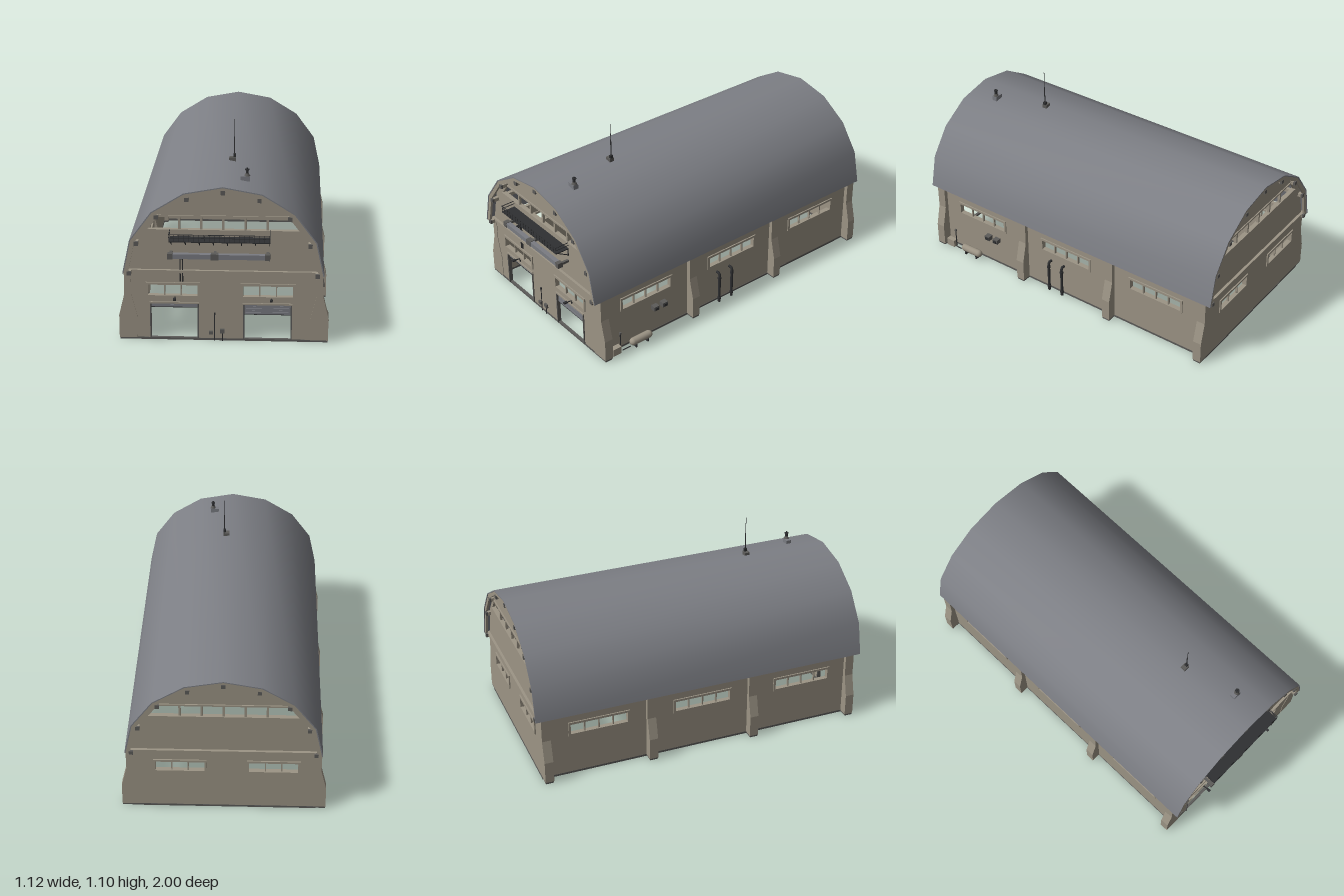
import * as THREE from 'three';
import { toCreasedNormals } from 'three/addons/utils/BufferGeometryUtils.js';

const mat = (name, color) => new THREE.MeshStandardMaterial({ name, color });

// Half of the roof profile, eave to ridge
const HALF = [[0.527, 0.39], [0.487, 0.575], [0.373, 0.73], [0.203, 0.835], [0, 0.872]];

// Full profile from right eave over the ridge to left eave, shrunk inward by t
function profile(t = 0) {
  const s = 1 - t / 0.525;
  const half = HALF.map(([x, y]) => [x * s, 0.35 + (y - 0.35) * s]);
  return [...half, ...half.slice(0, -1).reverse().map(([x, y]) => [-x, y])];
}
const shapeOf = pts => new THREE.Shape(pts.map(p => new THREE.Vector2(p[0], p[1])));
const pathOf = pts => new THREE.Path(pts.map(p => new THREE.Vector2(p[0], p[1])));
const rect = (x0, x1, y0, y1) => pathOf([[x0, y0], [x0, y1], [x1, y1], [x1, y0]]);
const extrude = (shape, depth) => new THREE.ExtrudeGeometry(shape, { depth, bevelEnabled: false });

export function createModel() {
  const wall = mat('wall beige', 0x9c9485);
  const roofMat = mat('roof grey', 0x7d7f85);
  const metal = mat('duct grey', 0x7a7c82);
  const dark = mat('dark grey', 0x5c5b59);
  const black = mat('black metal', 0x2f3032);

  const model = new THREE.Group();
  model.name = 'hangar';
  const hall = new THREE.Group();
  hall.name = 'hall';
  hall.position.x = -0.008;
  model.add(hall);

  const add = (parent, name, geo, m, x = 0, y = 0, z = 0) => {
    const mesh = new THREE.Mesh(geo, m);
    mesh.name = name;
    mesh.position.set(x, y, z);
    parent.add(mesh);
    return mesh;
  };
  const box = (parent, name, m, w, h, d, x, y, z) =>
    add(parent, name, new THREE.BoxGeometry(w, h, d), m, x, y, z);
  const rod = (parent, name, m, r, h, x, y, z) =>
    add(parent, name, new THREE.CylinderGeometry(r, r, h, 10), m, x, y, z);

  // Roof shell and arched ribs
  const band = (t0, t1) => shapeOf([...profile(t0), ...profile(t1).reverse()]);
  add(hall, 'roof', toCreasedNormals(extrude(band(0, 0.006), 1.958), 0.5), roofMat, 0, 0, -1);
  for (const z of [0.942, 0.893, 0.28, -0.335, -0.945, -0.996])
    add(hall, 'roofRib', extrude(band(0.005, 0.028), 0.013), wall, 0, 0, z);

  // Lengthwise purlins with grey ends
  const purlins = [[0.492, 0.39], [0.452, 0.556], [0.345, 0.702], [0.187, 0.8], [0, 0.84]];
  for (const [px, y] of purlins)
    for (const x of px ? [px, -px] : [0]) {
      box(hall, 'purlin', wall, 0.021, 0.021, 1.94, x, y, -0.02);
      for (const z of [0.953, -0.994]) box(hall, 'purlinEnd', dark, 0.022, 0.022, 0.011, x, y, z);
    }

  // Window frame with mullions, lying in the xy plane
  function windowFrame(parent, w, h, panes, x, y, z, turn = 0) {
    const g = new THREE.Group();
    g.name = 'windowFrame';
    const b = 0.013;
    for (const s of [-1, 1]) {
      box(g, 'frameRail', wall, w + 2 * b, b, 0.028, 0, s * (h + b) / 2, 0);
      box(g, 'frameSide', wall, b, h, 0.028, s * (w + b) / 2, 0, 0);
    }
    for (let i = 1; i < panes; i++) box(g, 'mullion', wall, 0.007, h, 0.012, -w / 2 + (w * i) / panes, 0, 0);
    g.position.set(x, y, z);
    g.rotation.y = turn;
    parent.add(g);
  }

  // End walls with gable window, two lower windows and front door openings
  const doors = [-0.26, 0.232];
  for (const [front, z] of [[true, 0.908], [false, -0.963]]) {
    const s = shapeOf([[-0.5, 0.01], [0.5, 0.01], [0.5, 0.39], ...profile(0.02), [-0.5, 0.39]]);
    s.holes.push(pathOf([[-0.392, 0.625], [-0.342, 0.692], [0.342, 0.692], [0.392, 0.625]]));
    for (const x of [-0.267, 0.235]) {
      s.holes.push(rect(x - 0.131, x + 0.131, 0.255, 0.315));
      windowFrame(hall, 0.262, 0.06, 3, x, 0.285, z);
    }
    if (front) for (const x of doors) s.holes.push(rect(x - 0.125, x + 0.125, 0.01, 0.21));
    add(hall, front ? 'frontWall' : 'backWall', extrude(s, 0.014), wall, 0, 0, z - 0.007);
    for (let i = -2; i <= 2; i++) box(hall, 'gableMullion', wall, 0.012, 0.07, 0.014, i * 0.115, 0.658, z);
    const out = front ? 1 : -1;
    box(hall, 'gableSill', wall, 0.79, 0.008, 0.026, 0, 0.621, z);
    box(hall, 'gableHeader', wall, 0.69, 0.01, 0.026, 0, 0.698, z);
    box(hall, 'eaveLedge', wall, 1.03, 0.014, 0.028, 0, 0.394, z + out * 0.008);
    box(hall, 'endFooting', dark, 1.0, 0.012, 0.016, 0, 0.006, z);
  }

  // Side walls, each with three windows
  for (const side of [-1, 1]) {
    const s = shapeOf([[-0.965, 0.01], [0.91, 0.01], [0.91, 0.4], [-0.965, 0.4]]);
    for (const z of [0.595, -0.02, -0.635]) {
      s.holes.push(rect(z - 0.165, z + 0.165, 0.26, 0.32));
      windowFrame(hall, 0.33, 0.06, 4, side * 0.494, 0.29, z, Math.PI / 2);
    }
    const geo = extrude(s, 0.014).translate(0, 0, -0.007).rotateY(-Math.PI / 2);
    add(hall, 'sideWall', geo, wall, side * 0.494);
    box(hall, 'sideFooting', dark, 0.016, 0.012, 1.87, side * 0.494, 0.006, -0.028);

    // Flared pilasters on dark pads
    const p = shapeOf([[-0.048, 0.01], [0.048, 0.01], [0.048, 0.137], [0.018, 0.26], [0.018, 0.395],
      [-0.018, 0.395], [-0.018, 0.26], [-0.048, 0.137]]);
    for (const z of [0.893, 0.28, -0.335, -0.945]) {
      add(hall, 'pilaster', extrude(p, 0.05), wall, side * 0.506, 0, z - 0.025);
      box(hall, 'pilasterPad', dark, 0.092, 0.01, 0.046, side * 0.506, 0.005, z);
    }
  }

  // Door frames, part-raised shutters and lamps
  doors.forEach((x, i) => {
    for (const s of [-1, 1]) box(hall, 'doorJamb', dark, 0.007, 0.205, 0.022, x + s * 0.126, 0.108, 0.91);
    box(hall, 'doorLintel', wall, 0.262, 0.009, 0.024, x, 0.213, 0.91);
    const slats = i ? 5 : 2;
    for (let k = 0; k < slats; k++)
      box(hall, 'shutterSlat', metal, 0.246, 0.0105, k % 2 ? 0.008 : 0.011, x, 0.203 - k * 0.0115, 0.905);
    box(hall, 'shutterBar', black, 0.246, 0.003, 0.012, x, 0.208 - slats * 0.0115, 0.905);
    const lx = i ? 0.253 : -0.255;
    const arm = rod(hall, 'lampArm', black, 0.003, 0.05, lx, 0.247, 0.937);
    arm.rotation.x = 1.4;
    box(hall, 'lampHead', black, 0.014, 0.009, 0.022, lx, 0.25, 0.96);
    box(hall, 'lampMount', black, 0.007, 0.026, 0.008, lx, 0.238, 0.918);
  });

  // Balcony with railing and brackets
  const balcony = new THREE.Group();
  balcony.name = 'balcony';
  model.add(balcony);
  box(balcony, 'deck', black, 0.524, 0.005, 0.082, -0.025, 0.585, 0.957);
  for (const y of [0.607, 0.624]) {
    box(balcony, 'frontRail', black, 0.524, 0.003, 0.003, -0.025, y, 0.997);
    for (const x of [-0.286, 0.236]) box(balcony, 'endRail', black, 0.003, 0.003, 0.08, x, y, 0.957);
  }
  for (let i = 0; i <= 20; i++) box(balcony, 'railPost', black, 0.0025, 0.04, 0.0025, -0.285 + i * 0.026, 0.604, 0.997);
  for (let i = 0; i < 8; i++) {
    const x = -0.279 + i * 0.0732;
    box(balcony, 'bracketLeg', black, 0.004, 0.045, 0.004, x, 0.562, 0.918);
    const strut = box(balcony, 'bracketStrut', black, 0.004, 0.082, 0.004, x, 0.564, 0.953);
    strut.rotation.x = 1.04;
  }

  // Air duct with couplings and drop pipes
  box(model, 'duct', metal, 0.52, 0.026, 0.026, -0.03, 0.5, 0.974);
  for (const [x, w] of [[-0.281, 0.028], [-0.05, 0.04], [0.224, 0.026]]) {
    box(model, 'ductCoupling', dark, w, 0.031, 0.031, x, 0.5, 0.974);
    box(model, 'ductMount', dark, 0.014, 0.014, 0.05, x, 0.5, 0.938);
  }
  for (const x of [-0.235, -0.222]) {
    rod(model, 'dropPipe', black, 0.0035, 0.16, x, 0.415, 0.92);
    box(model, 'dropPipeElbow', black, 0.006, 0.006, 0.05, x, 0.492, 0.942);
  }

  // Meter boxes and post at the front wall
  rod(model, 'frontPost', black, 0.0025, 0.155, -0.055, 0.078, 0.922);
  box(model, 'frontPostTop', black, 0.008, 0.012, 0.008, -0.055, 0.155, 0.922);
  box(model, 'meterBox', dark, 0.022, 0.018, 0.012, -0.074, 0.046, 0.92);
  box(model, 'panelBox', dark, 0.024, 0.024, 0.012, -0.014, 0.056, 0.92);
  rod(model, 'panelStand', black, 0.003, 0.045, -0.014, 0.022, 0.92);

  // Gas tank, cabinet, boxes and pipes on the left wall
  const tank = add(model, 'tank', new THREE.CapsuleGeometry(0.022, 0.105, 6, 16), wall, 0.532, 0.038, 0.665);
  tank.rotation.x = Math.PI / 2;
  for (const z of [0.625, 0.705]) box(model, 'tankFoot', black, 0.03, 0.02, 0.008, 0.532, 0.01, z);
  box(model, 'cabinet', wall, 0.03, 0.045, 0.055, 0.522, 0.027, 0.83);
  rod(model, 'sidePost', black, 0.003, 0.125, 0.52, 0.066, 0.797);
  box(model, 'sidePostTop', dark, 0.01, 0.012, 0.01, 0.52, 0.125, 0.797);
  rod(model, 'tankPipe', black, 0.003, 0.055, 0.525, 0.008, 0.76).rotation.x = Math.PI / 2;
  for (const z of [0.545, 0.485]) {
    box(model, 'switchBox', dark, 0.034, 0.027, 0.034, 0.508, 0.176, z);
    box(model, 'switchCover', black, 0.008, 0.016, 0.022, 0.526, 0.176, z);
  }
  for (const z of [0.087, -0.005]) {
    const bend = new THREE.CatmullRomCurve3([[0.494, 0.2], [0.512, 0.2], [0.519, 0.19], [0.519, 0.15], [0.519, 0.005]]
      .map(([x, y]) => new THREE.Vector3(x, y, z)));
    add(model, 'wallPipe', new THREE.TubeGeometry(bend, 24, 0.008, 8), black);
    for (const y of [0.03, 0.17]) rod(model, 'pipeCollar', black, 0.0105, 0.012, 0.519, y, z);
  }

  // Roof aerial
  box(model, 'aerialBase', dark, 0.036, 0.03, 0.03, 0.02, 0.87, 0.47);
  box(model, 'aerialBlock', black, 0.014, 0.03, 0.016, 0.031, 0.888, 0.47);
  rod(model, 'aerialMast', black, 0.003, 0.1, 0.031, 0.95, 0.47);
  rod(model, 'aerialTip', black, 0.0015, 0.1, 0.031, 1.048, 0.47);

  // Roof vent
  box(model, 'ventBase', metal, 0.05, 0.028, 0.03, 0.1, 0.863, 0.775);
  add(model, 'ventCone', new THREE.CylinderGeometry(0.009, 0.016, 0.014, 12), dark, 0.11, 0.883, 0.775);
  rod(model, 'ventStack', black, 0.008, 0.024, 0.11, 0.898, 0.775);
  rod(model, 'ventCap', black, 0.012, 0.005, 0.11, 0.911, 0.775);
  rod(model, 'ventTip', black, 0.004, 0.008, 0.11, 0.917, 0.775);

  return model;
}
